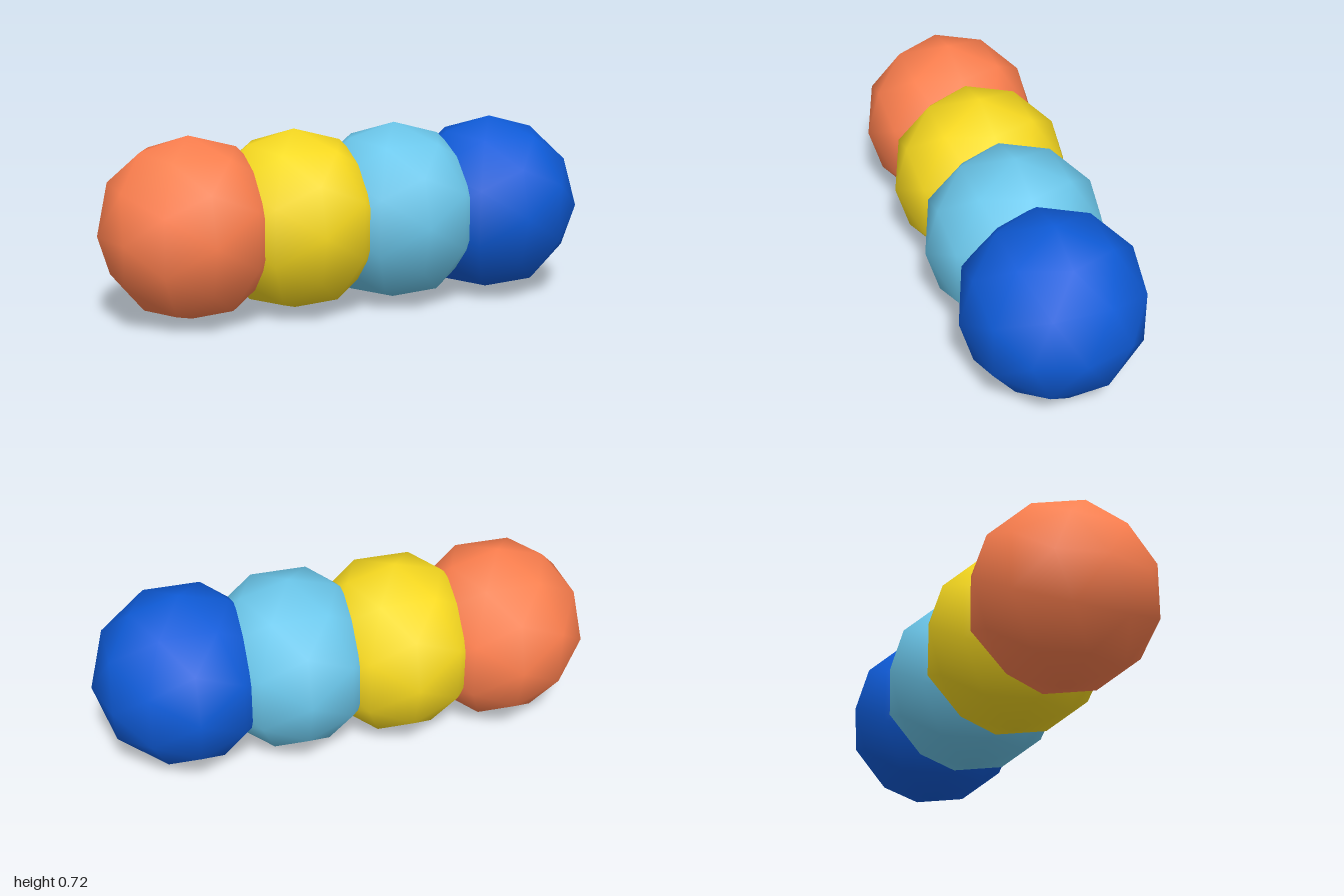
import * as THREE from 'three';

// Row of four overlapping low-poly balls with smooth shading
export function createModel() {
  const model = new THREE.Group();
  model.name = 'ballRow';

  const spacing = 2 / 4.7;
  const radius = 0.85 * spacing;
  const geometry = new THREE.IcosahedronGeometry(radius, 1);

  // Balls from the model's right (-x) to its left (+x)
  const balls = [
    ['orangeBall', 0xff804f],
    ['yellowBall', 0xf8da20],
    ['lightBlueBall', 0x6cc8ec],
    ['blueBall', 0x0f5cda],
  ];
  balls.forEach(([name, color], i) => {
    const ball = new THREE.Mesh(geometry, new THREE.MeshStandardMaterial({ color }));
    ball.name = name;
    ball.position.set((i - 1.5) * spacing, radius, 0);
    model.add(ball);
  });

  return model;
}
